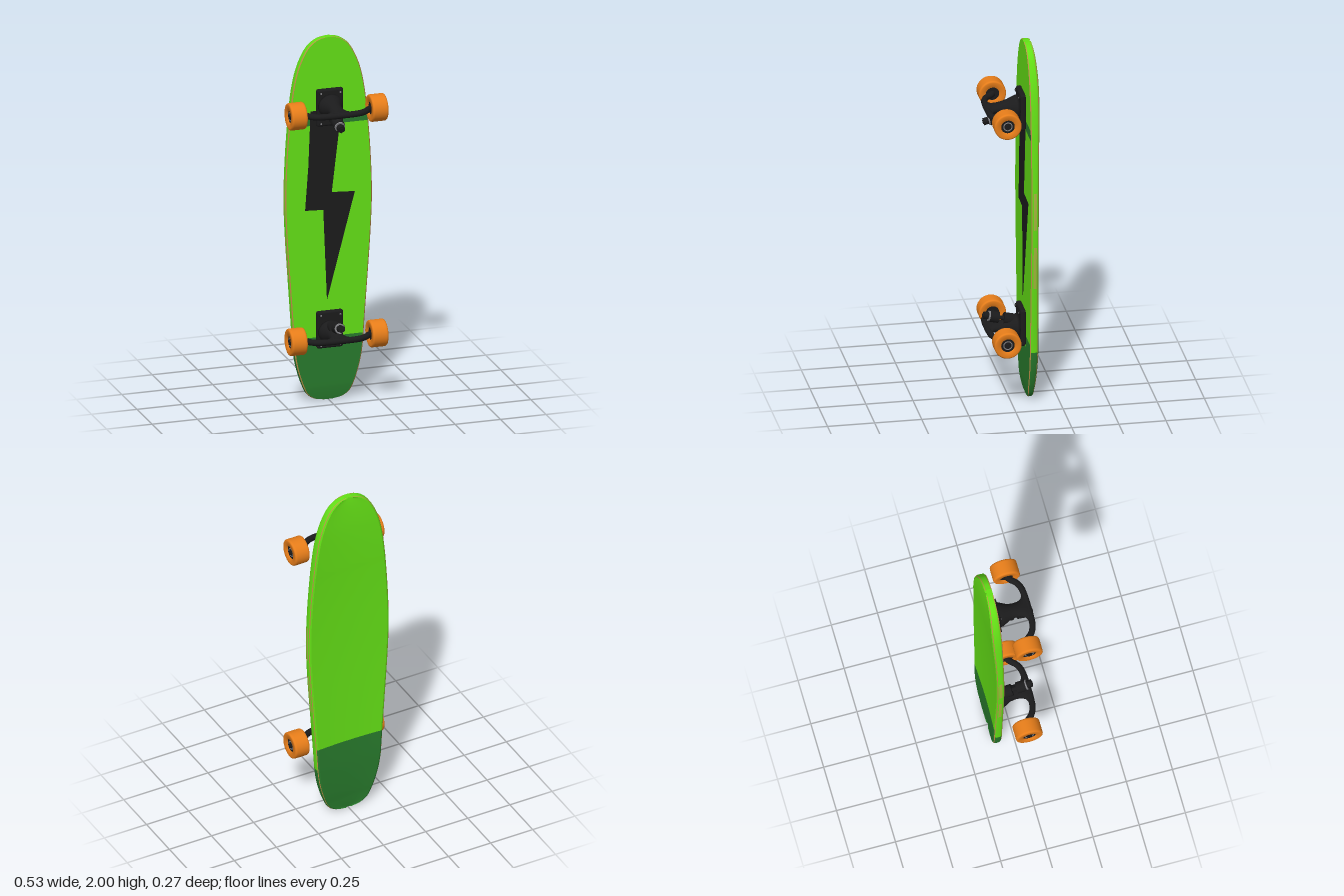
import * as THREE from 'three';
import { RoundedBoxGeometry } from 'three/addons/geometries/RoundedBoxGeometry.js';

const mat = (name, color) => Object.assign(new THREE.MeshStandardMaterial({ color }), { name });
const green = mat('green paint', 0x64e016);
const darkGreen = mat('dark green paint', 0x287a2c);
const wood = mat('plywood edge', 0xbc8e48);
const worn = mat('worn paint', 0xa4b83e);
const black = mat('black metal', 0x1b1b1c);
const orange = mat('orange urethane', 0xe87e1a);
const steel = mat('steel', 0x808084);

function add(parent, name, geometry, material, x = 0, y = 0, z = 0) {
  const mesh = new THREE.Mesh(geometry, material);
  mesh.name = name;
  mesh.position.set(x, y, z);
  parent.add(mesh);
  return mesh;
}

// Cylinder between two points
function rod(parent, name, a, b, r, material, sides = 20) {
  const from = new THREE.Vector3(...a), dir = new THREE.Vector3(...b).sub(from);
  const mesh = add(parent, name, new THREE.CylinderGeometry(r, r, dir.length(), sides), material);
  mesh.position.copy(from).addScaledVector(dir, 0.5);
  mesh.quaternion.setFromUnitVectors(new THREE.Vector3(0, 1, 0), dir.normalize());
  return mesh;
}

// Deck: rows up the board, each made of a front, two rims and a back
function deckGeometry() {
  // half width, height, thickness
  const outline = new THREE.CatmullRomCurve3([
    [0.03, 0, 0.014], [0.08, 0.011, 0.018], [0.117, 0.038, 0.024], [0.141, 0.085, 0.031], [0.16, 0.14, 0.035],
    [0.178, 0.21, 0.038], [0.19, 0.29, 0.04], [0.194, 0.35, 0.04], [0.2, 0.44, 0.039], [0.217, 0.68, 0.036],
    [0.233, 0.92, 0.034], [0.24, 1.12, 0.034], [0.233, 1.34, 0.036], [0.22, 1.52, 0.04], [0.215, 1.575, 0.042],
    [0.197, 1.72, 0.045], [0.175, 1.82, 0.045], [0.144, 1.9, 0.042], [0.108, 1.957, 0.038], [0.062, 1.99, 0.034],
    [0.02, 2, 0.032],
  ].map((p) => new THREE.Vector3(...p)));
  // inset from the outline, share of the thickness
  const rim = [[0.007, 0], [0.0015, 0.1], [0, 0.3], [0, 0.7], [0.003, 0.84], [0.006, 0.92], [0.014, 1]];
  const frontCols = [-1, -0.37, 0.37, 1];
  const backCols = [1, 0.75, 0.5, 0.25, 0, -0.25, -0.5, -0.75, -1];
  const rows = 20 * 4;
  const positions = [], bins = [[], [], [], []], firstLoop = [], lastLoop = [];

  const strips = {
    front: (w, zf) => frontCols.map((f) => [f * (w - 0.007), zf]),
    right: (w, zf, zb) => rim.map(([i, t]) => [w - i, zf + (zb - 0.006 - zf) * t]),
    back: (w, zf, zb) => backCols.map((f) => [f * (w - 0.014), zb - 0.006 * f * f]),
    left: (w, zf, zb) => rim.map(([i, t]) => [i - w, zf + (zb - 0.006 - zf) * t]).reverse(),
  };
  // 0 green, 1 dark green, 2 wood, 3 worn paint
  const colourOf = (strip, y, col) => {
    if (strip === 'front') return y < 0.29 || (col !== 1 && (y < 0.35 || (y > 1.52 && y < 1.575))) ? 1 : 0;
    if (strip === 'back') return y < 0.44 ? 1 : 0;
    const band = strip === 'left' ? 5 - col : col;
    if (band === 0 || band === 4) return 2;
    if (band === 5) return y < 0.44 ? 1 : 0;
    if (band === 2 && ((y > 0.7 && y < 0.9) || (y > 1 && y < 1.22))) return 3;
    return y < 0.3 ? 1 : 0;
  };
  for (const [name, section] of Object.entries(strips)) {
    const base = positions.length / 3;
    let lastY = 0;
    for (let r = 0; r <= rows; r++) {
      const p = outline.getPoint(r / rows);
      const y = THREE.MathUtils.clamp(p.y, 0, 2);
      const zf = -0.086 - Math.max(0, 0.03 - p.z) * 0.6;
      const pts = section(p.x, zf, zf - p.z);
      const n = pts.length;
      pts.forEach(([x, z]) => positions.push(x, y, z));
      if (r === 0) firstLoop.push(...pts.map(([x, z]) => [x, y, z]));
      if (r === rows) lastLoop.push(...pts.map(([x, z]) => [x, y, z]));
      for (let c = 0; r > 0 && c < n - 1; c++) {
        const a = base + (r - 1) * n + c, d = a + n;
        bins[colourOf(name, (y + lastY) / 2, c)].push(a, a + 1, d + 1, a, d + 1, d);
      }
      lastY = y;
    }
  }
  // Caps at tail and nose
  [[firstLoop.reverse(), 1], [lastLoop, 0]].forEach(([loop, bin]) => {
    const base = positions.length / 3;
    loop.forEach((p) => positions.push(...p));
    for (let i = 1; i < loop.length - 1; i++) bins[bin].push(base, base + i, base + i + 1);
  });

  const g = new THREE.BufferGeometry();
  g.setAttribute('position', new THREE.Float32BufferAttribute(positions, 3));
  g.setIndex(bins.flat());
  let start = 0;
  bins.forEach((b, i) => { g.addGroup(start, b.length, i); start += b.length; });
  g.computeVertexNormals();
  return g;
}

// Loft of ellipses along z: [z, half width, half height]
function loftGeometry(sections, sides = 28) {
  const positions = [], index = [];
  sections.forEach(([z, hx, hy], s) => {
    for (let i = 0; i < sides; i++) {
      const a = (i / sides) * Math.PI * 2;
      positions.push(hx * Math.cos(a), hy * Math.sin(a), z);
      if (s === 0) continue;
      const j = (i + 1) % sides, p = (s - 1) * sides, q = s * sides;
      index.push(p + i, p + j, q + j, p + i, q + j, q + i);
    }
  });
  const g = new THREE.BufferGeometry();
  g.setAttribute('position', new THREE.Float32BufferAttribute(positions, 3));
  g.setIndex(index);
  g.computeVertexNormals();
  return g;
}

// Wheel with its axis along x, outer side towards +x
function createWheel() {
  const wheel = new THREE.Group();
  wheel.name = 'wheel';
  const profile = [[0.034, -0.03], [0.038, -0.042], [0.064, -0.043], [0.069, -0.041], [0.072, -0.036], [0.0725, -0.03],
    [0.0725, 0.03], [0.072, 0.036], [0.069, 0.041], [0.064, 0.043], [0.04, 0.042], [0.035, 0.03]];
  const tyre = add(wheel, 'tyre', new THREE.LatheGeometry(profile.map((p) => new THREE.Vector2(...p)), 40), orange);
  tyre.rotation.z = -Math.PI / 2;
  rod(wheel, 'hubCore', [-0.034, 0, 0], [0.032, 0, 0], 0.0365, black, 32);
  const ring = add(wheel, 'bearingRing', new THREE.TorusGeometry(0.022, 0.003, 8, 28), steel, 0.032);
  ring.rotation.y = Math.PI / 2;
  rod(wheel, 'axleNut', [0.03, 0, 0], [0.04, 0, 0], 0.013, black, 6);
  return wheel;
}

// Truck centred on its axle; the kingpin leans towards -y
function createTruck() {
  const truck = new THREE.Group();
  truck.name = 'truck';
  add(truck, 'baseplate', new RoundedBoxGeometry(0.146, 0.204, 0.03, 3, 0.012), black, 0, -0.01, -0.073);
  for (const x of [-0.053, 0.053]) for (const y of [-0.093, 0.073]) {
    rod(truck, 'mountingBolt', [x, y, -0.062], [x, y, -0.052], 0.011, black, 6);
    rod(truck, 'boltEnd', [x, y, -0.054], [x, y, -0.05], 0.005, steel, 10);
  }
  add(truck, 'hangerBody', loftGeometry([
    [-0.062, 0, 0], [-0.062, 0.068, 0.064], [-0.045, 0.066, 0.062], [-0.025, 0.056, 0.055], [0, 0.043, 0.044],
    [0.03, 0.039, 0.034], [0.06, 0.042, 0.026], [0.08, 0.053, 0.021], [0.095, 0.08, 0.018],
    [0.11, 0.085, 0.015], [0.122, 0.05, 0.009], [0.124, 0, 0]]), black);
  // Bowed axle arm running from wheel to wheel
  const bow = new THREE.CatmullRomCurve3([[-0.19, 0.043], [-0.172, 0.056], [-0.145, 0.084], [-0.11, 0.101], [-0.06, 0.107], [0, 0.108],
    [0.06, 0.107], [0.11, 0.101], [0.145, 0.084], [0.172, 0.056], [0.19, 0.043]].map(([x, z]) => new THREE.Vector3(x, 0, z)));
  add(truck, 'axleArm', new THREE.TubeGeometry(bow, 64, 0.0165, 14), black);
  // Kingpin with its bushings, washer and nut
  const at = (t) => [0, -0.03 - 0.042 * t, -0.05 + 0.175 * t];
  rod(truck, 'kingpin', at(0), at(1.03), 0.011, black);
  rod(truck, 'lowerBushing', at(0.05), at(0.4), 0.032, black, 24);
  rod(truck, 'upperBushing', at(0.55), at(0.82), 0.03, black, 24);
  rod(truck, 'washer', at(0.82), at(0.86), 0.027, steel, 24);
  rod(truck, 'kingpinNut', at(0.86), at(1.01), 0.021, black, 6);
  for (const side of [1, -1]) {
    const wheel = createWheel();
    wheel.position.set(side * 0.222, 0, 0.043);
    if (side < 0) wheel.rotation.y = Math.PI;
    truck.add(wheel);
  }
  return truck;
}

export function createModel() {
  const board = new THREE.Group();
  board.name = 'skateboard';
  add(board, 'deck', deckGeometry(), [green, darkGreen, wood, worn]);

  // Painted zigzag on the underside
  const zigzag = new THREE.Shape([[-0.1, 1.6], [-0.112, 1.3], [-0.13, 1.055], [-0.03, 1.05], [-0.01, 0.55],
    [0.143, 1.135], [0.016, 1.143], [0.07, 1.6]].map((p) => new THREE.Vector2(...p)));
  add(board, 'zigzagStripe', new THREE.ExtrudeGeometry(zigzag, { depth: 0.003, bevelEnabled: false }), black, 0, 0, -0.0875);

  // Trucks with kingpins facing the middle
  const upper = createTruck();
  upper.name = 'upperTruck';
  upper.position.y = 1.63;
  const lower = createTruck();
  lower.name = 'lowerTruck';
  lower.position.y = 0.385;
  lower.rotation.z = Math.PI;
  board.add(upper, lower);
  return board;
}
